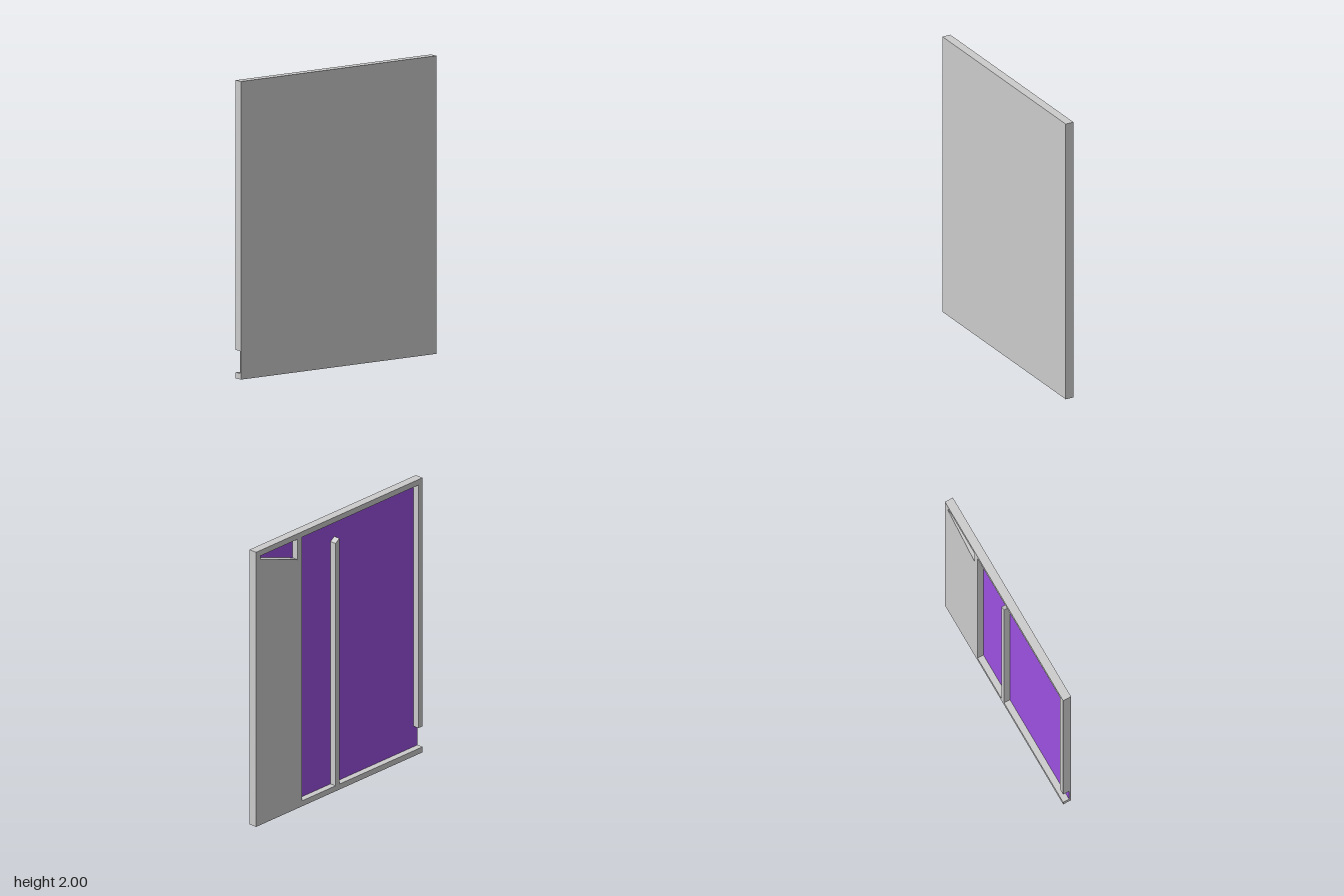
import * as THREE from 'three';

export function createModel() {
  const group = new THREE.Group();
  const grey = new THREE.MeshStandardMaterial({ color: 0xcccccc });
  const purple = new THREE.MeshStandardMaterial({ color: 0x9b51e0 });

  const add = (name, geometry, material, z) => {
    const mesh = new THREE.Mesh(geometry, material);
    mesh.name = name;
    mesh.position.z = z;
    group.add(mesh);
  };
  const points = (list) => list.map(([x, y]) => new THREE.Vector2(x, y));

  // Back frame: outline runs through the side gap into the main opening and round the centre stud
  const frame = new THREE.Shape(points([
    [-0.8, 0], [0.8, 0], [0.8, 2], [-0.8, 2],
    [-0.8, 0.19], [-0.76, 0.19], [-0.76, 1.96],
    [0.36, 1.96], [0.36, 0.04],
    [0.036, 0.04], [0.036, 1.805], [0, 1.83], [0, 0.04],
    [-0.8, 0.04],
  ]));
  // Tapered window in the upper corner of the solid side
  frame.holes.push(new THREE.Path(points([
    [0.4, 1.96], [0.4, 1.81], [0.76, 1.935], [0.76, 1.96],
  ])));
  add('backFrame', new THREE.ExtrudeGeometry(frame, { depth: 0.05, bevelEnabled: false }), grey, -0.03);

  // Coloured lining seen through the openings
  const lining = new THREE.BoxGeometry(1.598, 1.98, 0.006);
  lining.translate(0, 1, 0);
  add('lining', lining, purple, 0.018);

  // Plain front panel
  const panel = new THREE.BoxGeometry(1.6, 2, 0.01);
  panel.translate(0, 1, 0);
  add('frontPanel', panel, grey, 0.025);

  return group;
}
